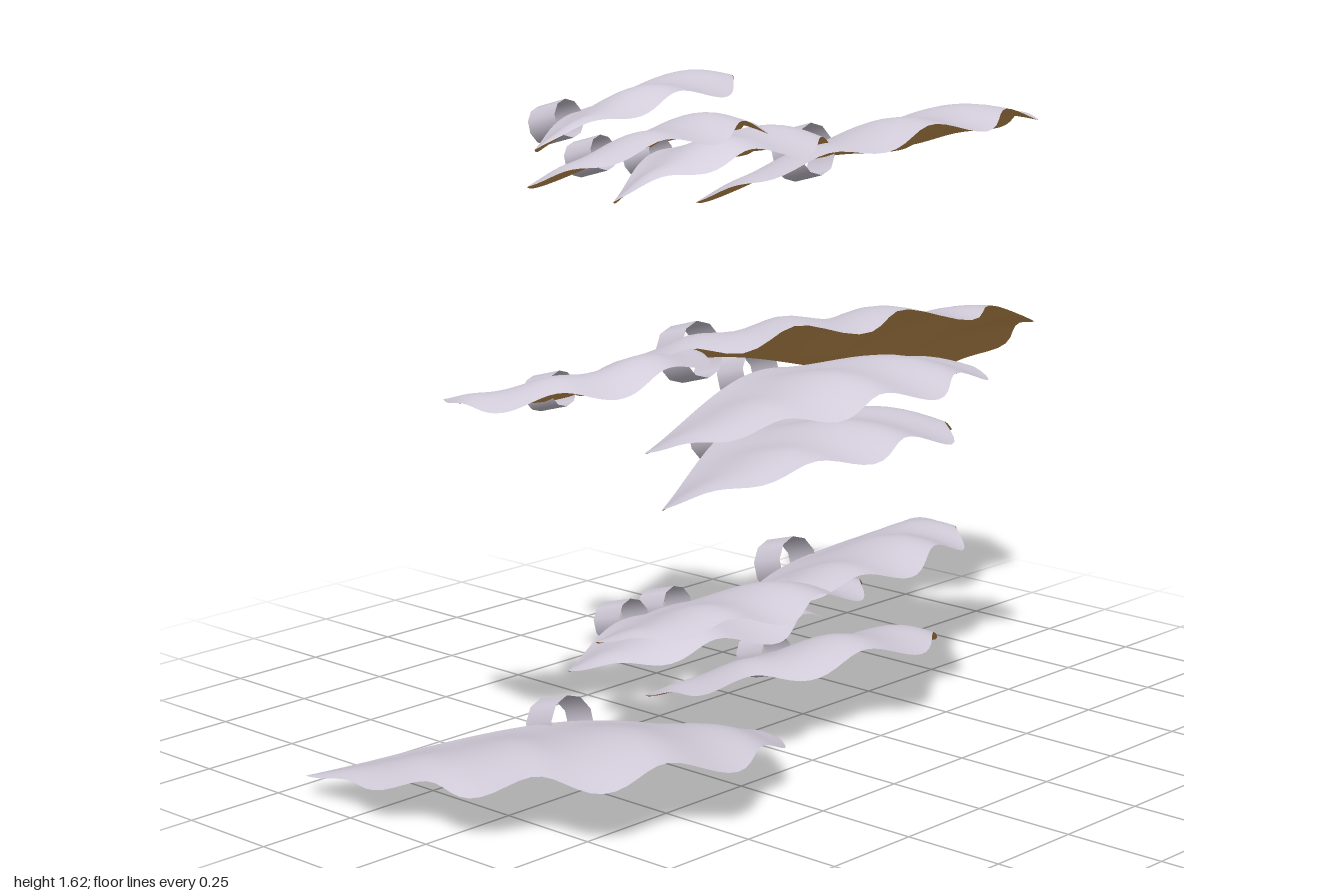
import * as THREE from 'three';

const topMat = new THREE.MeshStandardMaterial({ color: 0xd2ccda, side: THREE.DoubleSide });
topMat.name = 'pale lavender';
const underMat = new THREE.MeshStandardMaterial({ color: 0xcf9a54, side: THREE.DoubleSide });
underMat.name = 'ochre';

const SEG = 64, ROWS = 14;

// One sheet of a cap, lofted from the back edge to the scalloped front rim
function sheet(back, rim, stem, thickness, flip) {
  const waves = Math.round(rim.getLength() / 0.27);
  const pos = [], index = [], p = new THREE.Vector3();
  for (let i = 0; i <= SEG; i++) {
    const s = i / SEG, ends = Math.max(Math.sin(Math.PI * s), 0);
    const lobe = ends * Math.cos(waves * 2 * Math.PI * s + 0.8 * Math.sin(5 * s));
    const b = back.getPointAt(s), r = rim.getPointAt(s);
    r.x += (r.x - stem.x) * 0.04 * lobe;
    r.z += (r.z - stem.z) * 0.04 * lobe;
    r.y -= 0.02 * ends;
    for (let j = 0; j <= ROWS; j++) {
      const v = j / ROWS;
      p.lerpVectors(b, r, v);
      // domed top that droops to a rippled rim, and a lip that opens towards the back
      p.y += 0.045 * ends * Math.sin(Math.PI * v ** 1.4) - 0.018 * v * v * lobe;
      p.y -= thickness * Math.sqrt(ends) * (1 - v);
      pos.push(p.x, p.y, p.z);
      if (i < SEG && j < ROWS) {
        const a = i * (ROWS + 1) + j, c = a + ROWS + 1;
        if (flip) index.push(a, c, a + 1, a + 1, c, c + 1);
        else index.push(a, a + 1, c, a + 1, c + 1, c);
      }
    }
  }
  const g = new THREE.BufferGeometry();
  g.setAttribute('position', new THREE.Float32BufferAttribute(pos, 3));
  g.setIndex(index);
  g.computeVertexNormals();
  return g;
}

// A fan-shaped cap: its rim is a Bezier arch from the left to the right back corner
function makeCap(name, stemX, stemY, ringRadius, ...arch) {
  const group = new THREE.Group();
  group.name = name;
  const add = (part, geometry, material) => {
    const mesh = new THREE.Mesh(geometry, material);
    mesh.name = part;
    group.add(mesh);
    return mesh;
  };
  const points = arch.map((a) => new THREE.Vector3(...a));
  const stem = new THREE.Vector3(stemX, stemY, -0.18);
  const rim = new THREE.CubicBezierCurve3(...points);
  const back = new THREE.CatmullRomCurve3([points[0], stem, points[3]]);
  add('capTop', sheet(back, rim, stem, 0, false), topMat);
  add('capUnderside', sheet(back, rim, stem, 0.03, true), underMat);
  // open tube where the cap joins its support, tipped up towards the front
  const tube = new THREE.CylinderGeometry(ringRadius, ringRadius, 0.09, 10, 1, true).rotateX(Math.PI / 2 - 0.28);
  add('stemRing', tube, topMat).position.set(stemX, stemY - 0.015, stem.z - 0.03);
  return group;
}

export function createModel() {
  const model = new THREE.Group();
  model.name = 'shelfFungusCluster';
  model.add(
    // upper tier
    makeCap('upperCapTop', -0.37, 1.53, 0.045, [-0.69, 1.51, 0.05], [-0.62, 1.63, 0.2], [0.24, 1.68, 0.27], [0, 1.53, -0.34]),
    makeCap('upperCapLeft', -0.26, 1.44, 0.042, [-0.57, 1.4, -0.1], [-0.66, 1.58, 0.36], [0.22, 1.58, 0.34], [0.12, 1.4, -0.37]),
    makeCap('upperCapMiddle', -0.07, 1.42, 0.04, [-0.37, 1.35, -0.03], [-0.34, 1.51, 0.2], [0.38, 1.5, 0.36], [0.28, 1.38, -0.2]),
    makeCap('upperCapRight', 0.48, 1.37, 0.066, [0.03, 1.29, -0.15], [-0.2, 1.54, 0.48], [1.25, 1.57, 0.5], [0.94, 1.32, -0.25]),
    // middle tier
    makeCap('middleCapLeft', -0.4, 0.91, 0.042, [-0.64, 0.9, -0.31], [-0.95, 0.96, 0.13], [0.05, 1.02, 0.27], [-0.09, 0.95, -0.17]),
    makeCap('middleCapLarge', 0.07, 0.93, 0.07, [-0.08, 0.8, -0.42], [-1, 1.06, 0.05], [1.05, 1.26, 0.92], [0.76, 0.77, -0.05]),
    makeCap('middleCapInner', 0.28, 0.84, 0.065, [-0.2, 0.73, -0.1], [-0.3, 0.91, 0.44], [0.91, 0.95, 0.57], [0.76, 0.74, -0.2]),
    makeCap('middleCapBottom', 0.18, 0.71, 0.068, [-0.28, 0.63, 0.03], [-0.33, 0.82, 0.4], [0.71, 0.83, 0.73], [0.73, 0.61, -0.39]),
    // lower tier
    makeCap('lowerCapInner', -0.17, 0.31, 0.05, [-0.53, 0.29, -0.03], [-0.6, 0.39, 0.3], [0.32, 0.41, 0.41], [0.18, 0.25, -0.1]),
    makeCap('lowerCapMiddle', -0.02, 0.31, 0.05, [-0.42, 0.33, -0.05], [-0.5, 0.46, 0.45], [0.46, 0.47, 0.41], [0.37, 0.27, -0.14]),
    makeCap('lowerCapRight', 0.42, 0.33, 0.068, [0, 0.33, -0.02], [-0.05, 0.5, 0.52], [0.7, 0.5, 0.39], [0.85, 0.36, -0.16]),
    makeCap('bottomCapLeft', -0.38, 0.1, 0.068, [-0.96, 0.05, -0.45], [-1.08, 0.22, 0.42], [-0.34, 0.24, 0.7], [-0.05, 0.06, 0.14]),
    makeCap('bottomCapRight', 0.34, 0.11, 0.055, [0.02, 0.04, -0.32], [-0.3, 0.27, 0.3], [0.76, 0.29, 0.49], [0.69, 0.05, -0.18]),
  );
  return model;
}
